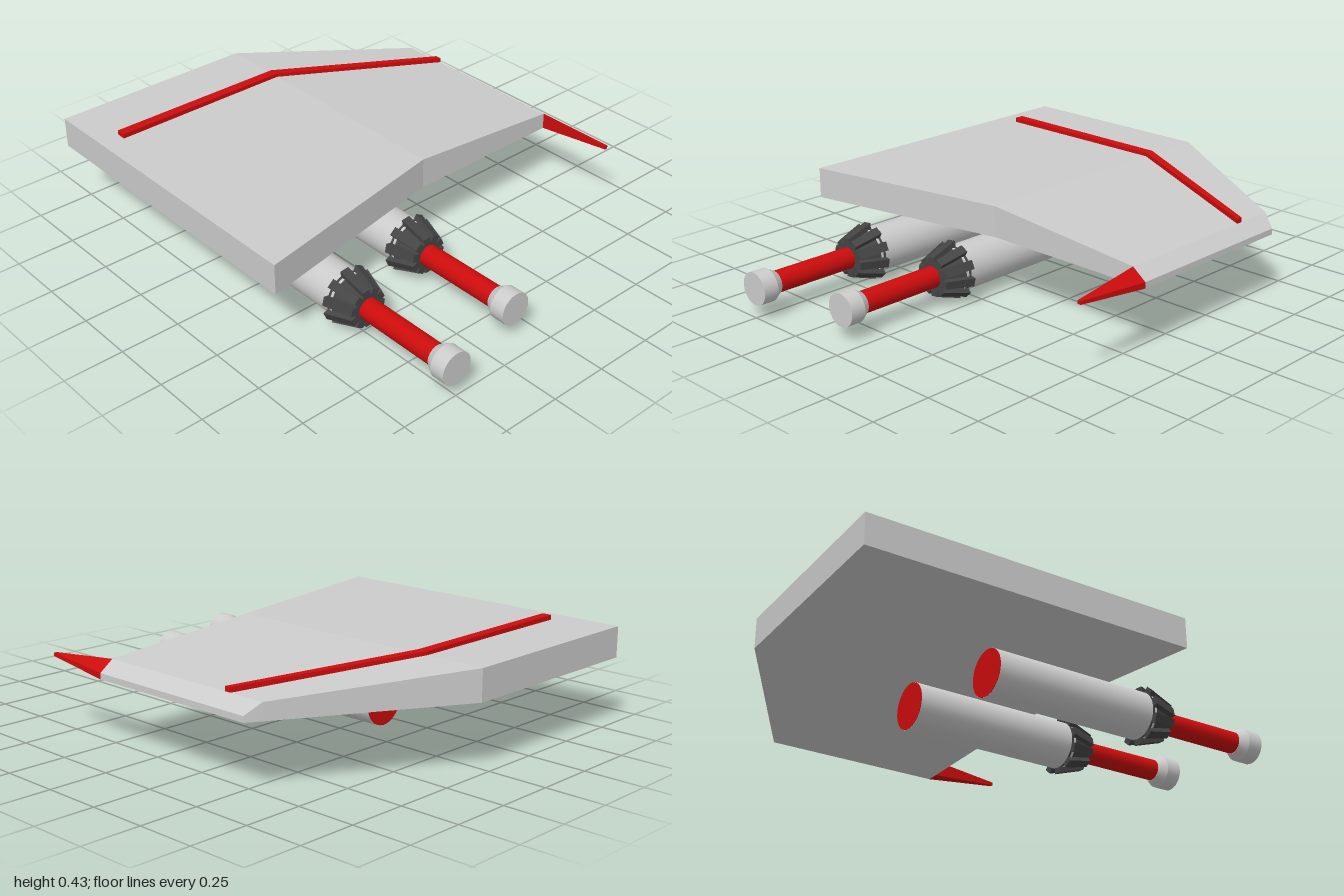
import * as THREE from 'three';

const grey = new THREE.MeshStandardMaterial({ color: 0xcccccc });
const red = new THREE.MeshStandardMaterial({ color: 0xcc0c0c });
const dark = new THREE.MeshStandardMaterial({ color: 0x444444 });

function add(parent, name, geometry, material) {
  const mesh = new THREE.Mesh(geometry, material);
  mesh.name = name;
  parent.add(mesh);
  return mesh;
}

// Closed, flat-faced solid through four-cornered sections
// (corners run counter-clockwise seen from the last section's end)
function loft(sections) {
  const pos = [];
  const quad = (a, b, c, d) => pos.push(...a, ...b, ...c, ...a, ...c, ...d);
  for (let s = 0; s < sections.length - 1; s++) {
    const p = sections[s], q = sections[s + 1];
    for (let i = 0; i < 4; i++) {
      const j = (i + 1) % 4;
      quad(p[i], p[j], q[j], q[i]);
    }
  }
  quad(...[...sections[0]].reverse());
  quad(...sections[sections.length - 1]);
  const g = new THREE.BufferGeometry();
  g.setAttribute('position', new THREE.Float32BufferAttribute(pos, 3));
  g.computeVertexNormals();
  return g;
}

// Rectangular section across x
const sectionX = (x, y0, y1, z0, z1) => [[x, y0, z0], [x, y1, z0], [x, y1, z1], [x, y0, z1]];
// Rectangular section across z
const sectionZ = (z, x0, x1, y0, y1) => [[x0, y0, z], [x1, y0, z], [x1, y1, z], [x0, y1, z]];

// Round tube along z from z0 to z1
function tube(r0, r1, z0, z1) {
  return new THREE.CylinderGeometry(r1, r0, z1 - z0, 32)
    .rotateX(Math.PI / 2)
    .translate(0, 0, (z0 + z1) / 2);
}

// Cannon, with z measured from the rear end of its barrel
function makeCannon(name) {
  const cannon = new THREE.Group();
  cannon.name = name;
  add(cannon, 'barrel', tube(0.097, 0.097, 0, 0.73), grey);
  add(cannon, 'rearCap', tube(0.096, 0.096, -0.002, 0.01), red);
  add(cannon, 'innerBarrel', tube(0.045, 0.045, 0.7, 1.21), red);
  add(cannon, 'muzzleTaper', tube(0.047, 0.069, 1.2, 1.235), grey);
  add(cannon, 'muzzle', tube(0.069, 0.069, 1.235, 1.3), grey);

  // Flared collar with ten ribs
  const collar = new THREE.Group();
  collar.name = 'collar';
  cannon.add(collar);
  add(collar, 'collarCore', tube(0.1, 0.062, 0.71, 0.83), dark);
  const rib = loft([
    sectionZ(0.71, 0.07, 0.121, -0.019, 0.019),
    sectionZ(0.83, 0.035, 0.082, -0.017, 0.017),
  ]);
  for (let i = 0; i < 10; i++) {
    add(collar, 'collarRib', rib, dark).rotation.z = THREE.MathUtils.degToRad(24 + i * 36);
  }
  return cannon;
}

export function createModel() {
  const model = new THREE.Group();
  model.name = 'wingWithCannons';

  // Wing slab, thinning towards its bevelled tip
  add(model, 'wing', loft([
    sectionX(-0.83, 0.28, 0.41, -1, 0.4),
    sectionX(0.06, 0.28, 0.41, -1, 0.23),
    sectionX(0.77, 0.28, 0.35, -0.595, 0.23),
    sectionX(0.83, 0.28, 0.305, -0.56, 0.23),
  ]), grey);

  // Raised stripe following the bend of the wing
  add(model, 'stripe', loft([
    sectionX(-0.735, 0.4, 0.43, -0.742, -0.7),
    sectionX(0.06, 0.4, 0.426, -0.742, -0.7),
    sectionX(0.77, 0.34, 0.37, -0.432, -0.405),
  ]), red);

  // Pointed spike at the wing tip
  add(model, 'tipSpike', loft([
    [[0.77, 0.28, 0.23], [0.83, 0.28, 0.23], [0.83, 0.305, 0.23], [0.77, 0.35, 0.23]],
    sectionZ(0.555, 0.793, 0.807, 0.308, 0.322),
  ]), red);

  // Two cannons below the wing, one set further forward
  const cannons = [['rightCannon', -0.5, -0.3], ['leftCannon', -0.095, -0.4]];
  for (const [name, x, z] of cannons) {
    const cannon = makeCannon(name);
    cannon.position.set(x, 0.125, z);
    model.add(cannon);
  }
  return model;
}
